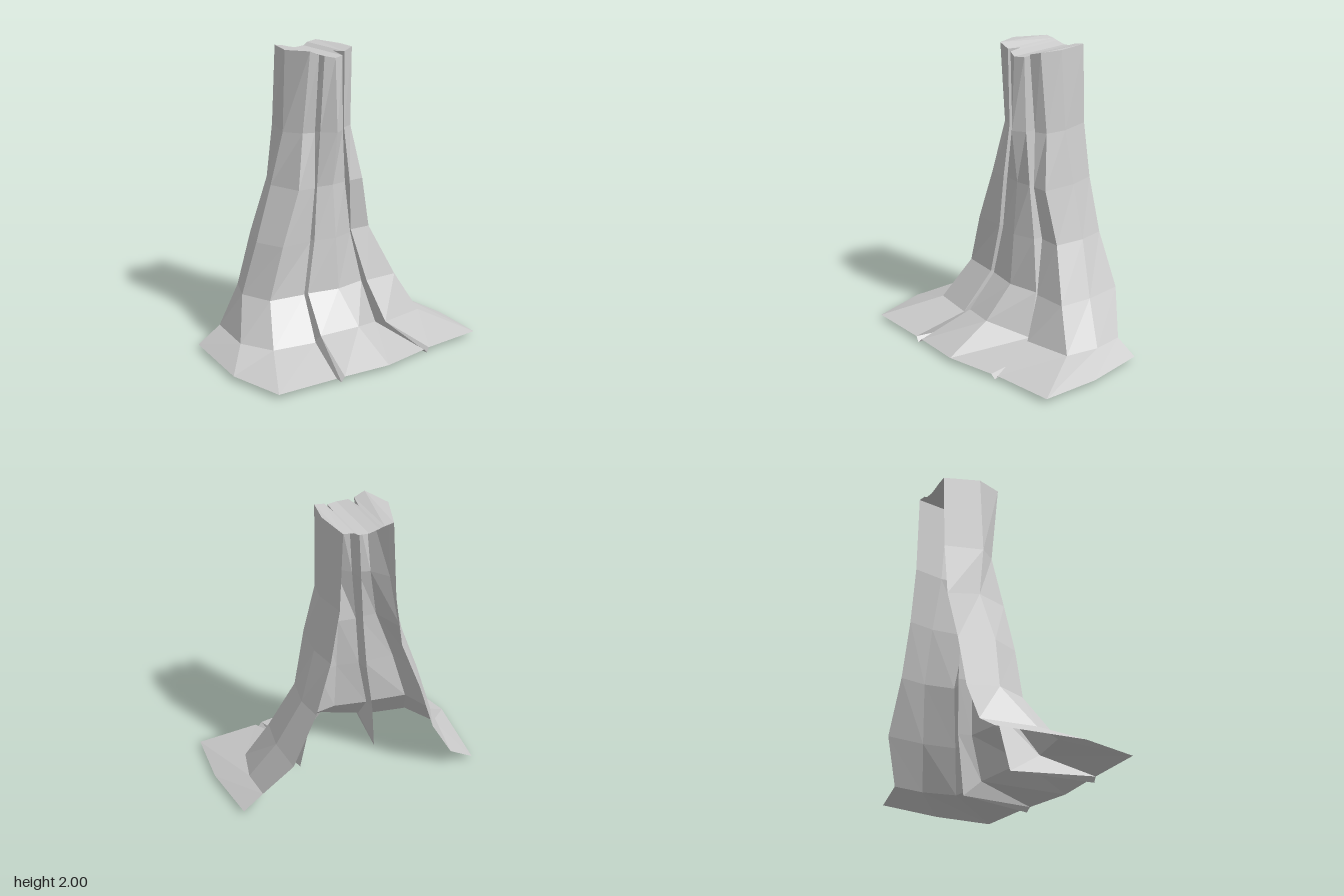
import * as THREE from 'three';

const BACK = -0.51;
const HEIGHTS = [0.03, 0.13, 0.39, 0.74, 1.1, 1.46];

// One vertical profile line, listed from the skirt to the top.
function column(x, z, top, low = []) {
  const ys = [...HEIGHTS, top];
  low.forEach((y, i) => { ys[i] = y; });
  return x.map((v, i) => new THREE.Vector3(v, ys[i], z[i]));
}

// Flat-shaded surface between neighbouring lines, each running left to right, bottom to top.
function loft(name, lines) {
  const points = [];
  const quad = (a, b, c, d) => points.push(a, b, c, a, c, d);
  for (let i = 0; i < lines.length - 1; i++) {
    for (let j = 0; j < lines[i].length - 1; j++) {
      quad(lines[i][j], lines[i + 1][j], lines[i + 1][j + 1], lines[i][j + 1]);
    }
  }
  const geometry = new THREE.BufferGeometry().setFromPoints(points);
  geometry.computeVertexNormals();
  const mesh = new THREE.Mesh(geometry, new THREE.MeshStandardMaterial({
    color: 0xcccccc, flatShading: true, side: THREE.DoubleSide,
  }));
  mesh.name = name;
  return mesh;
}

export function createModel() {
  const group = new THREE.Group();
  group.name = 'hollowTrunk';

  // Right wall: open back edge, side ridge, front corner
  const rightBack = column([-0.79, -0.62, -0.47, -0.36, -0.22, -0.17, -0.14], Array(7).fill(BACK), 1.98);
  const rightSide = column([-0.87, -0.68, -0.55, -0.45, -0.31, -0.25, -0.22],
    [0.05, -0.16, -0.33, -0.3, -0.33, -0.27, -0.28], 1.99);
  const rightCorner = column([-0.79, -0.57, -0.47, -0.37, -0.24, -0.17, -0.15],
    [0.44, 0.06, -0.12, -0.11, -0.11, -0.16, -0.1], 2);

  // Right groove: outer lip, deep fold, inner lip
  const rightLip = column([-0.37, -0.28, -0.225, -0.16, -0.12, -0.095, -0.08],
    [0.47, 0.12, -0.08, -0.1, -0.1, -0.13, -0.1], 1.97);
  const rightFold = column([-0.34, -0.26, -0.205, -0.14, -0.105, -0.08, -0.06],
    [0.48, -0.08, -0.15, -0.19, -0.2, -0.21, -0.2], 1.965, [0, 0]);
  const rightInner = column([-0.31, -0.23, -0.195, -0.125, -0.095, -0.06, -0.045],
    [0.475, 0.11, -0.08, -0.1, -0.11, -0.12, -0.09], 1.96, [0.03, 0.16]);

  // Crease down the middle of the front
  const middle = column(Array(7).fill(0.02),
    [0.51, 0.19, -0.03, -0.06, -0.09, -0.04, -0.06], 1.945, [0.03, 0.19]);

  // Left groove
  const leftInner = column([0.36, 0.28, 0.235, 0.17, 0.125, 0.1, 0.09],
    [0.46, 0.04, -0.06, -0.1, -0.1, -0.09, -0.08], 1.95, [0.03, 0.11]);
  const leftFold = column([0.39, 0.3, 0.255, 0.19, 0.145, 0.115, 0.105],
    [0.455, -0.08, -0.15, -0.19, -0.2, -0.21, -0.2], 1.96, [0, 0]);
  const leftLip = column([0.41, 0.32, 0.265, 0.205, 0.165, 0.14, 0.12],
    [0.45, 0.1, -0.04, -0.14, -0.1, -0.13, -0.1], 1.97, [0.03, 0.12]);

  // Left wall, with its skirt cut short at the back
  const leftCorner = column([0.83, 0.64, 0.5, 0.35, 0.27, 0.215, 0.195],
    [0.43, 0.06, -0.03, -0.13, -0.1, -0.16, -0.12], 1.99, [0.03, 0.12]);
  const leftSide = column([0.87, 0.7, 0.54, 0.39, 0.3, 0.245, 0.22],
    [0.04, -0.16, -0.25, -0.33, -0.33, -0.3, -0.28], 1.985, [0.03, 0.12]);
  const leftBack = column([0.83, 0.69, 0.53, 0.37, 0.27, 0.21, 0.19],
    [-0.38, -0.37, BACK, BACK, BACK, BACK, BACK], 1.98, [0.03, 0.12]);

  group.add(
    loft('rightWall', [rightBack, rightSide, rightCorner, rightLip]),
    loft('rightGroove', [rightLip, rightFold, rightInner]),
    loft('frontPanel', [rightInner, middle, leftInner]),
    loft('leftGroove', [leftInner, leftFold, leftLip]),
    loft('leftWall', [leftLip, leftCorner, leftSide, leftBack]),
  );

  // Top cap: strips from the rim to the straight back edge
  const rim = [rightBack, rightSide, rightCorner, rightLip, rightFold, rightInner, middle,
    leftInner, leftFold, leftLip, leftCorner, leftSide, leftBack].map((line) => line[6]);
  group.add(loft('topCap', rim.map((p) => [
    p, new THREE.Vector3(THREE.MathUtils.clamp(p.x, -0.14, 0.19), Math.min(p.y, 1.98), BACK),
  ])));
  return group;
}
